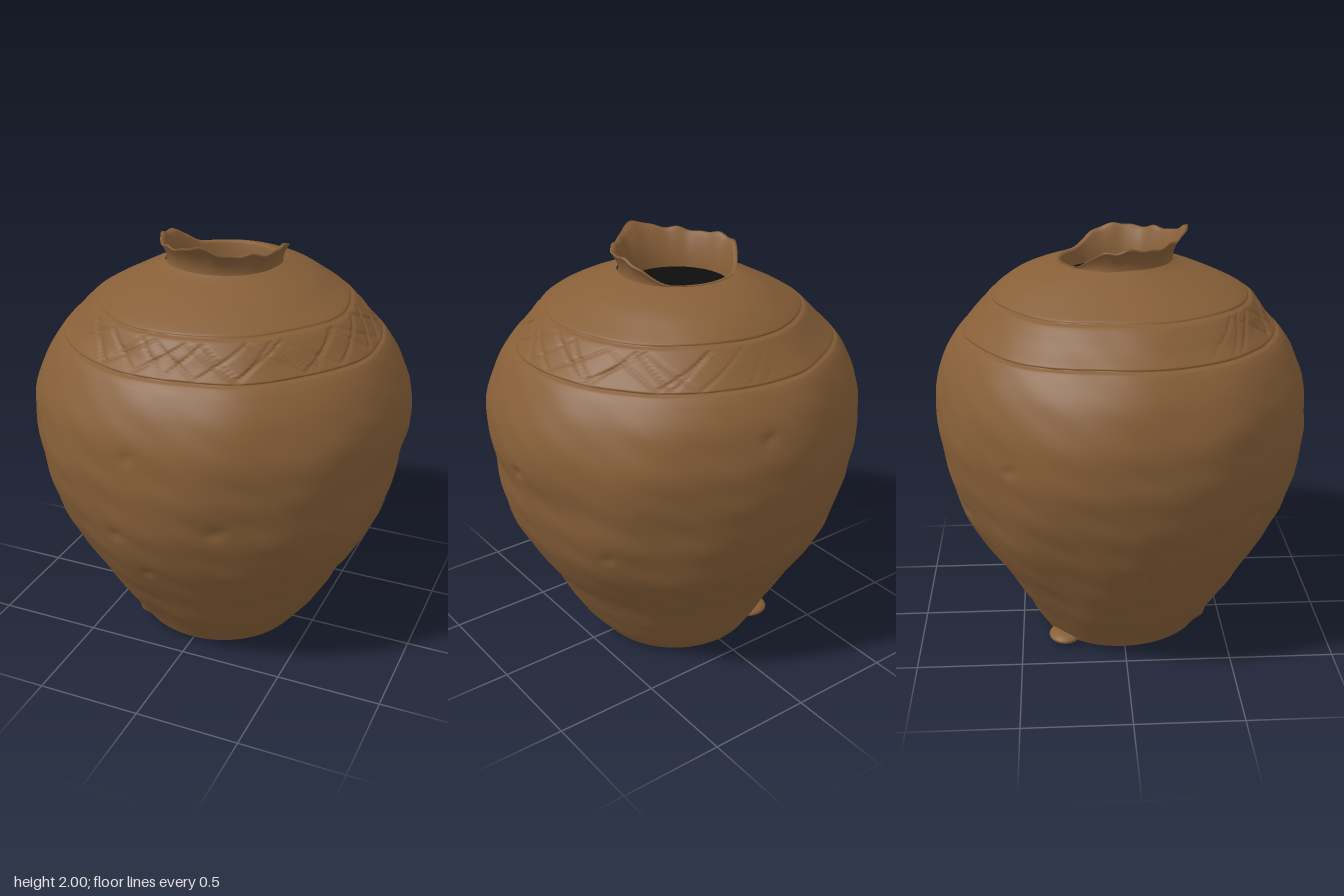
import * as THREE from 'three';

const SEG = 288;

// Side profiles: height, then radius towards +x, -x, +z, -z
const PROFILE = [
  [0.02, 0.39, 0.41, 0.40, 0.40],
  [0.10, 0.455, 0.46, 0.45, 0.45],
  [0.20, 0.525, 0.53, 0.52, 0.50],
  [0.40, 0.64, 0.65, 0.64, 0.62],
  [0.60, 0.765, 0.755, 0.755, 0.75],
  [0.80, 0.84, 0.835, 0.835, 0.82],
  [1.00, 0.87, 0.885, 0.875, 0.865],
  [1.17, 0.90, 0.895, 0.88, 0.88],
  [1.30, 0.88, 0.875, 0.865, 0.865],
  [1.40, 0.845, 0.84, 0.83, 0.84],
  [1.50, 0.785, 0.78, 0.77, 0.785],
  [1.55, 0.745, 0.74, 0.725, 0.745],
  [1.60, 0.70, 0.685, 0.68, 0.70],
  [1.65, 0.655, 0.635, 0.645, 0.655],
  [1.70, 0.60, 0.58, 0.60, 0.61],
  [1.75, 0.51, 0.485, 0.51, 0.555],
  [1.80, 0.42, 0.385, 0.39, 0.48],
  [1.84, 0.32, 0.30, 0.28, 0.38],
  [1.86, 0.265, 0.265, 0.24, 0.29],
];
const sides = [1, 2, 3, 4].map((k) => new THREE.SplineCurve(PROFILE.map((p) => new THREE.Vector2(p[k], p[0]))));

// Small dents: angle, height, size, depth
const DENTS = [
  [-0.08, 1.23, 0.03, 0.012], [-0.2, 0.81, 0.035, 0.014], [-0.06, 0.6, 0.03, 0.012],
  [0.37, 0.91, 0.04, 0.012], [-0.8, 0.82, 0.04, 0.012], [1.62, 1.09, 0.025, 0.02],
  [2.15, 0.77, 0.03, 0.012], [-2.2, 1.1, 0.03, 0.012], [-2.7, 0.75, 0.03, 0.01],
  [-0.6, 0.1, 0.04, -0.02], [3.0, 1.35, 0.03, 0.01], [-1.5, 0.6, 0.04, 0.012],
];

const gauss = (d, w) => Math.exp(-(d * d) / (w * w));
const wrap = (a) => Math.atan2(Math.sin(a), Math.cos(a));
const triWave = (a) => (2 / Math.PI) * Math.asin(Math.sin(a));

// Closed rings of points joined into a smooth surface; point(row, angle) gives a position
function ringSurface(rows, seg, point) {
  const pos = [], index = [];
  for (let i = 0; i < rows; i++) {
    for (let j = 0; j < seg; j++) pos.push(...point(i, (j / seg) * Math.PI * 2));
  }
  for (let i = 0; i < rows - 1; i++) {
    for (let j = 0; j < seg; j++) {
      const k = (j + 1) % seg;
      const a = i * seg + j, b = i * seg + k, c = b + seg, d = a + seg;
      index.push(a, b, c, a, c, d);
    }
  }
  const g = new THREE.BufferGeometry();
  g.setAttribute('position', new THREE.Float32BufferAttribute(pos, 3));
  g.setIndex(index);
  g.computeVertexNormals();
  return g;
}

// Depth of the incised lines and hatching on the shoulder
function incision(y, a) {
  if (y < 1.5 || y > 1.75) return 0;
  const wobble = 0.003 * Math.sin(3 * a) + 0.002 * Math.sin(7 * a + 1);
  let d = 0.011 * (gauss(y - 1.545 - wobble, 0.005) + gauss(y - 1.7 - wobble, 0.005));
  const strength = THREE.MathUtils.smoothstep(Math.cos(a - 1.0), -0.75, 0.1);
  for (const [freq, phase] of [[9, 0], [9, 2.3], [13, 4.1]]) {
    const line = 1.622 + 0.062 * triWave(freq * a + phase + 0.5 * Math.sin(2 * a));
    d += 0.007 * strength * gauss(y - line, 0.007);
  }
  return d;
}

// Hand-formed unevenness of the wall
function unevenness(y, a) {
  const fade = THREE.MathUtils.smoothstep(1.85 - y, 0, 0.3) * THREE.MathUtils.smoothstep(y, 0, 0.25);
  let d = 0.004 * Math.sin(5 * a + 4 * y) + 0.003 * Math.sin(9 * a - 7 * y + 1)
    + 0.002 * Math.sin(16 * a + 19 * y) * Math.sin(23 * y + 3 * a) + 0.002 * Math.sin(31 * y + Math.sin(3 * a));
  d *= fade;
  for (const [da, dy, size, depth] of DENTS) {
    d -= depth * gauss(wrap(a - da) * 0.8, size) * gauss(y - dy, size * 0.7);
  }
  return d;
}

// Slightly tilted foot
const footTilt = (x, z) => -0.02 * x + 0.02 * z;

function bodyGeometry() {
  const ts = [];
  const last = PROFILE.length - 1;
  for (let i = 0; i < last; i++) {
    const inBand = PROFILE[i][0] >= 1.5 && PROFILE[i][0] <= 1.7;
    const n = inBand ? 14 : PROFILE[i + 1][0] - PROFILE[i][0] > 0.15 ? 9 : 5;
    for (let k = 0; k < n; k++) ts.push((i + k / n) / last);
  }
  ts.push(1);
  const rings = ts.map((t) => sides.map((s) => s.getPoint(t)));
  return ringSurface(rings.length, SEG, (i, a) => {
    const s = Math.sin(a), c = Math.cos(a);
    const [px, nx, pz, nz] = rings[i];
    const y = px.y;
    const r = s * s * (s > 0 ? px.x : nx.x) + c * c * (c > 0 ? pz.x : nz.x)
      + unevenness(y, a) - incision(y, a);
    const lift = footTilt(r * s, r * c) * Math.max(0, 1 - y / 0.3);
    return [r * s, y + lift, r * c];
  });
}

function baseGeometry() {
  return ringSurface(7, 96, (i, a) => {
    const s = Math.sin(a), c = Math.cos(a), f = i / 6;
    const r = f * (s > 0 ? 0.40 - 0.01 * s * s : 0.40 + 0.01 * s * s);
    const bump = 0.004 * Math.sin(3 * a + 9 * f) * f * (1 - f) * 4;
    return [r * s, 0.02 + footTilt(r * s, r * c) + bump, r * c];
  });
}

// Broken collar: high with a lip at the front, worn away at the back
function collarGeometry() {
  const OUT = 10, IN = 10;
  return ringSurface(OUT + IN + 2, 192, (i, a) => {
    const c = Math.cos(a), w = wrap(a);
    const up = THREE.MathUtils.smoothstep(c, -0.75, -0.1);
    const lip = gauss(w, 0.38);
    const chips = 0.006 * Math.sin(9 * a + 1) + 0.004 * Math.sin(17 * a);
    const top = 1.863 + up * (0.09 + chips) + 0.042 * lip;
    const rim = 0.268 + 0.032 * up + 0.04 * lip + 0.004 * Math.sin(7 * a) * up;
    let r, y;
    if (i <= OUT) {
      const s = i / OUT;
      r = 0.262 + (rim - 0.262) * s * s + 0.012 * (1 - s) ** 4;
      y = 1.84 + (top - 1.84) * s;
    } else {
      const s = (i - OUT - 1) / IN;
      r = 0.24 + (rim - 0.016 - 0.24) * (1 - s) ** 2;
      y = top - 0.002 + (1.76 - top) * s;
    }
    return [r * Math.sin(a), y, -0.03 + r * c];
  });
}

export function createModel() {
  const clay = new THREE.MeshStandardMaterial({ color: 0x875f38 });
  clay.name = 'brown clay';
  const dark = new THREE.MeshStandardMaterial({ color: 0x0d0d0d });
  dark.name = 'dark interior';

  const model = new THREE.Group();
  model.name = 'jar';
  const add = (name, geometry, material) => {
    const mesh = new THREE.Mesh(geometry, material);
    mesh.name = name;
    model.add(mesh);
    return mesh;
  };

  add('body', bodyGeometry(), clay);
  add('base', baseGeometry(), clay);
  add('collar', collarGeometry(), clay);

  // Dark opening inside the neck
  const opening = add('opening', new THREE.CircleGeometry(0.25, 64), dark);
  opening.rotation.x = -Math.PI / 2;
  opening.position.set(0, 1.785, -0.03);

  // Lump of clay stuck under the foot
  const lump = add('footLump', new THREE.SphereGeometry(1, 20, 12), clay);
  lump.scale.set(0.09, 0.03, 0.08);
  lump.position.set(-0.28, 0.03, -0.29);

  return model;
}
